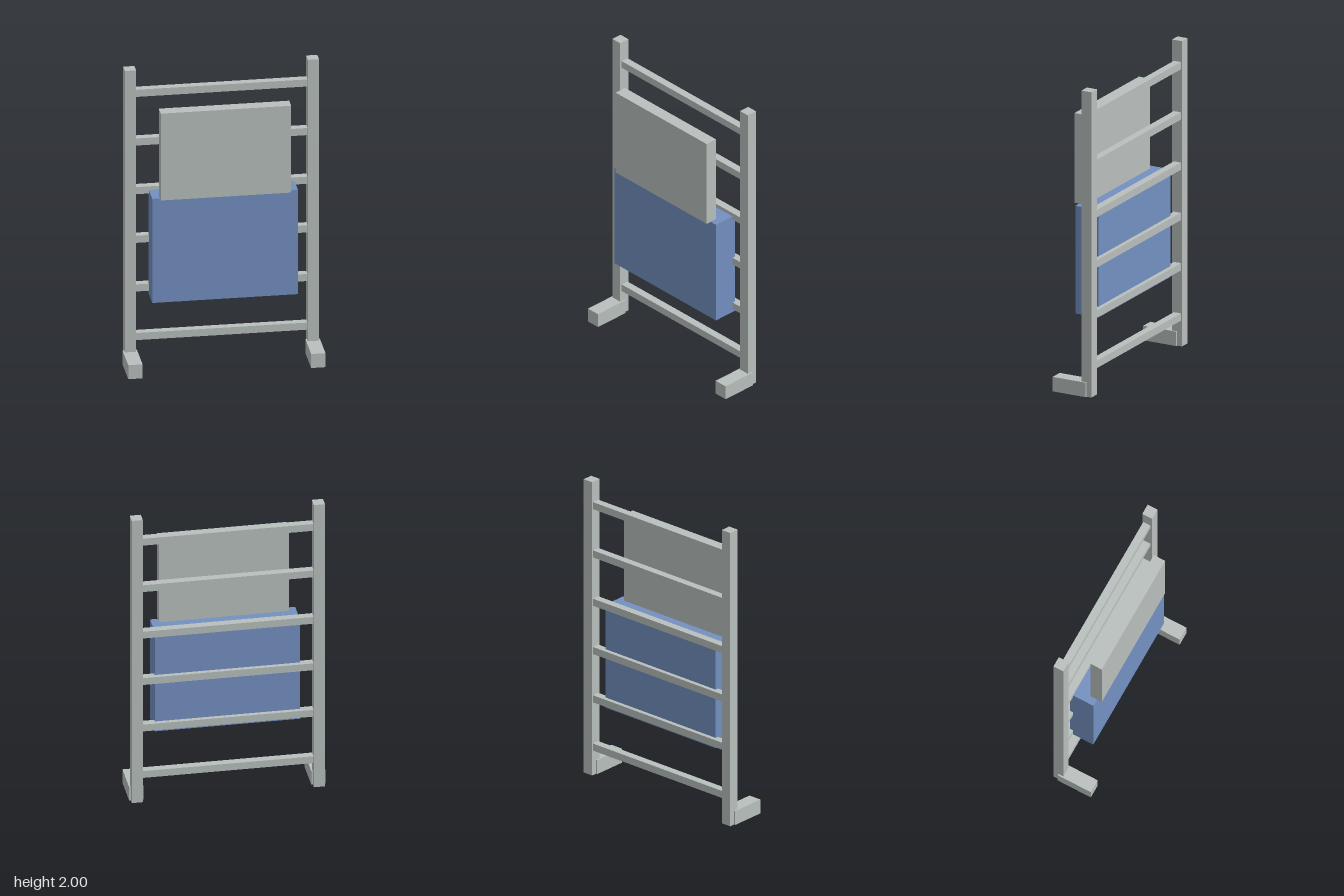
import * as THREE from 'three';

const frameGrey = new THREE.MeshStandardMaterial({ name: 'frameGrey', color: 0xb8bfbd });
const towelBlue = new THREE.MeshStandardMaterial({ name: 'towelBlue', color: 0x7390c1 });

// Box given by its extents along each axis
function block(name, material, [x0, x1], [y0, y1], [z0, z1]) {
  const mesh = new THREE.Mesh(new THREE.BoxGeometry(x1 - x0, y1 - y0, z1 - z0), material);
  mesh.position.set((x0 + x1) / 2, (y0 + y1) / 2, (z0 + z1) / 2);
  mesh.name = name;
  return mesh;
}

export function createModel() {
  const rack = new THREE.Group();
  rack.name = 'towelRack';

  // Upright posts and forward-reaching feet, mirrored left and right
  for (const [label, s] of [['left', 1], ['right', -1]]) {
    const span = (a, b) => (s > 0 ? [a, b] : [-b, -a]);
    rack.add(block(`${label}Post`, frameGrey, span(0.54, 0.61), [0, 2], [-0.135, -0.065]));
    rack.add(block(`${label}Foot`, frameGrey, span(0.53, 0.62), [0, 0.095], [-0.1, 0.135]));
  }

  // Six evenly spaced rungs
  for (let i = 0; i < 6; i++) {
    const y = 0.192 + i * 0.3293;
    rack.add(block(`rung${i + 1}`, frameGrey, [-0.55, 0.55], [y - 0.024, y + 0.024], [-0.128, -0.078]));
  }

  // Hanging blue towel and the grey one above it
  rack.add(block('lowerTowel', towelBlue, [-0.458, 0.458], [0.475, 1.18], [-0.1, 0.064]));
  rack.add(block('upperTowel', frameGrey, [-0.41, 0.41], [1.18, 1.768], [0.018, 0.098]));

  return rack;
}
